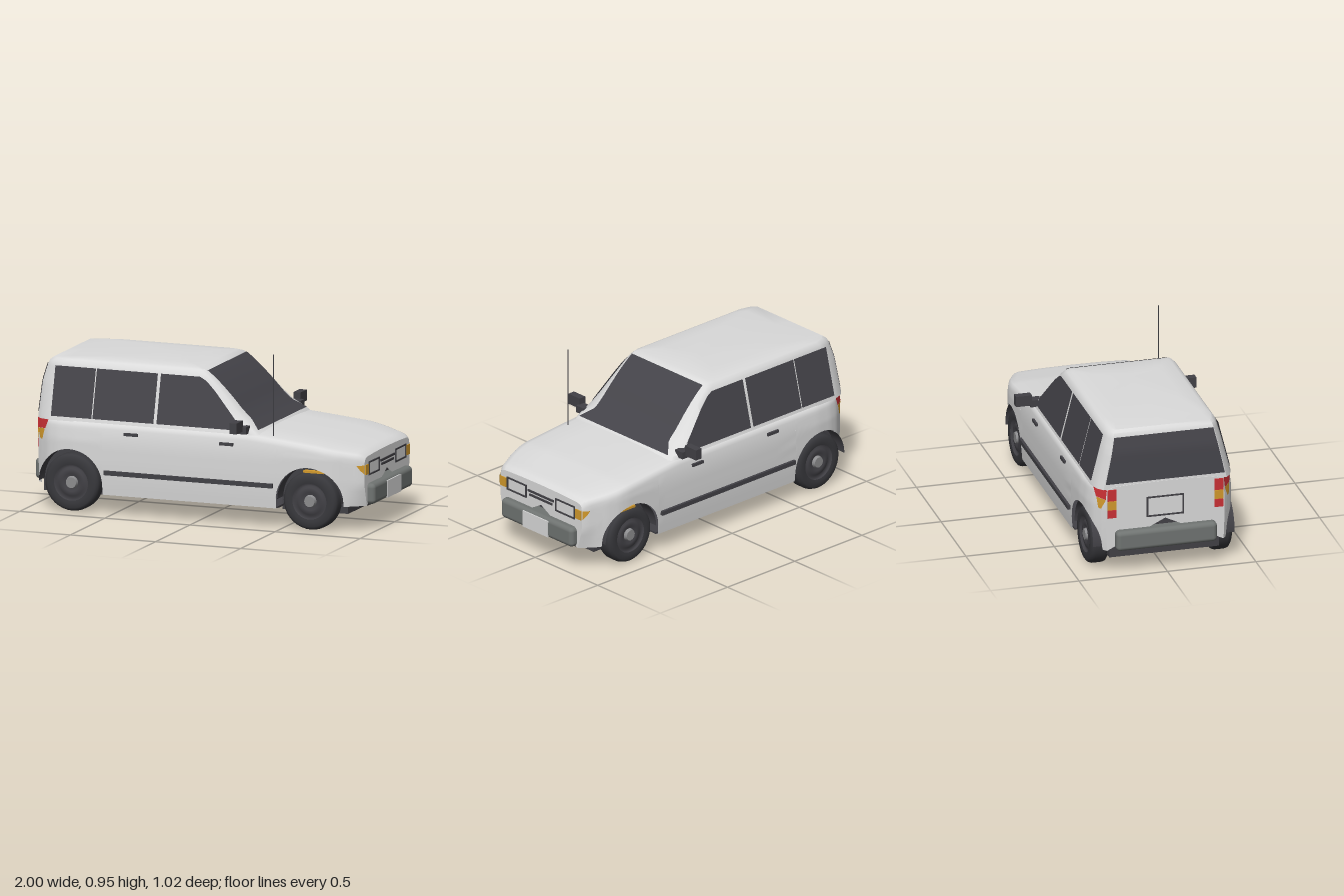
import * as THREE from 'three';
import { toCreasedNormals } from 'three/addons/utils/BufferGeometryUtils.js';
import { RoundedBoxGeometry } from 'three/addons/geometries/RoundedBoxGeometry.js';

const mat = (name, color) => {
  const m = new THREE.MeshStandardMaterial({ color, side: THREE.DoubleSide });
  m.name = name;
  return m;
};

// Piecewise linear lookup in [[t, value], ...]
const at = (keys, t) => {
  if (t <= keys[0][0]) return keys[0][1];
  for (let i = 1; i < keys.length; i++) {
    const [a, va] = keys[i - 1], [b, vb] = keys[i];
    if (t <= b) return va + (vb - va) * (t - a) / (b - a);
  }
  return keys[keys.length - 1][1];
};

// Surface through rows of [x, y, z] points
function skin(rows, crease = 0.6) {
  const n = rows[0].length, index = [];
  for (let i = 0; i < rows.length - 1; i++) {
    for (let j = 0; j < n - 1; j++) {
      const a = i * n + j, b = a + n;
      index.push(a, b, b + 1, a, b + 1, a + 1);
    }
  }
  const g = new THREE.BufferGeometry();
  g.setAttribute('position', new THREE.Float32BufferAttribute(rows.flat(2), 3));
  g.setIndex(index);
  return toCreasedNormals(g, crease);
}

// Thin patch from a function of u, v in 0..1
function patch(f, nu = 6, nv = 14) {
  const rows = [];
  for (let i = 0; i <= nu; i++) {
    const row = [];
    for (let j = 0; j <= nv; j++) row.push(f(i / nu, j / nv));
    rows.push(row);
  }
  return skin(rows);
}

const mix = THREE.MathUtils.lerp;

// Body proportions
const WHEELS = [-0.74, 0.66], ARCH = 0.19, AXLE = 0.16, TAIL = -0.955, NOSE = 0.955;
const bodyWidth = [[TAIL, 0.335], [-0.93, 0.355], [-0.88, 0.39], [-0.82, 0.41], [-0.72, 0.42], [0.7, 0.42],
  [0.76, 0.412], [0.82, 0.392], [0.9, 0.355], [0.935, 0.34], [NOSE, 0.325]];
const bodyTop = [[TAIL, 0.515], [0.3, 0.513], [0.36, 0.508], [0.5, 0.495], [0.7, 0.475], [0.85, 0.448], [0.93, 0.434], [NOSE, 0.415]];
const bulge = [[0.11, 0.975], [0.18, 0.99], [0.28, 1], [0.4, 1], [0.45, 0.985], [0.52, 0.96]];
const sideZ = (x, y) => at(bodyWidth, x) * at(bulge, y)
  - 0.25 * Math.max(0, 0.25 - y) * THREE.MathUtils.clamp((x - 0.86) / 0.09, 0, 1);

// Cabin proportions by height
const cabinWidth = [[0.5, 0.395], [0.52, 0.39], [0.79, 0.322], [0.81, 0.314], [0.825, 0.3], [0.833, 0.28], [0.84, 0.2], [0.845, 0]];
const cabinFront = [[0.5, 0.36], [0.52, 0.34], [0.57, 0.275], [0.62, 0.22], [0.68, 0.165], [0.74, 0.105], [0.78, 0.06],
  [0.81, 0.022], [0.825, 0], [0.833, -0.03], [0.84, -0.12], [0.845, -0.2]];
const cabinRear = [[0.5, -0.953], [0.7, -0.942], [0.79, -0.92], [0.81, -0.912], [0.825, -0.895], [0.833, -0.8], [0.84, -0.55], [0.845, -0.3]];
const screenHalf = [[0.5, 0.37], [0.52, 0.36], [0.57, 0.297], [0.83, 0.285]];

function bodyBottom(x) {
  for (const c of WHEELS) {
    const d = Math.abs(x - c);
    if (d <= ARCH + 1e-6) return AXLE + Math.sqrt(Math.max(0, ARCH * ARCH - d * d));
  }
  return x > 0.85 || x < -0.93 ? 0.14 : 0.11;
}

function bodySection(x) {
  const yb = bodyBottom(x), top = at(bodyTop, x), ys = top - 0.04, half = [];
  for (let i = 0; i <= 9; i++) {
    const y = mix(yb, ys, i / 9);
    half.push([x, y, sideZ(x, y)]);
  }
  const z = sideZ(x, ys);
  for (const [k, d] of [[0.988, 0.023], [0.96, 0.011], [0.88, 0.003], [0.5, -0.002]]) half.push([x, top - d, z * k]);
  return [...half, [x, top + 0.004, 0], ...half.map(([a, b, c]) => [a, b, -c]).reverse()];
}

function cabinRing(y) {
  const w = at(cabinWidth, y), f = at(cabinFront, y), r = at(cabinRear, y);
  const h = Math.min(at(screenHalf, y), w * 0.95);
  const half = [[f, h], [f - 0.015, mix(h, w, 0.6)], [f - 0.05, w], [r + 0.09, w], [r + 0.03, w * 0.95], [r, w * 0.88]];
  return [[f, 0], ...half, [r, 0], ...half.map(([x, z]) => [x, -z]).reverse(), [f, 0]].map(([x, z]) => [x, y, z]);
}

export function createModel() {
  const car = new THREE.Group();
  car.name = 'car';
  const paint = mat('silver paint', 0xdadada), glass = mat('dark glass', 0x45444a), trim = mat('dark trim', 0x424146),
    rubber = mat('tyre rubber', 0x38383c), grey = mat('bumper grey', 0x707472), red = mat('red lens', 0xcc3035),
    amber = mat('amber lens', 0xd39a2c), hub = mat('hub metal', 0x8c8c8e);
  const add = (name, geo, material, x = 0, y = 0, z = 0) => {
    const m = new THREE.Mesh(geo, material);
    m.name = name;
    m.position.set(x, y, z);
    car.add(m);
    return m;
  };
  const box = (name, material, x, y, z, w, h, d) => add(name, new THREE.BoxGeometry(w, h, d), material, x, y, z);

  // Lower body with wheel arches
  const xs = [TAIL, -0.945, -0.9305, -0.5495, -0.4, -0.15, 0.1, 0.3, 0.36, 0.42, 0.4695, 0.8505, 0.88, 0.91, 0.935, NOSE];
  for (const c of WHEELS) for (let i = 0; i <= 24; i++) xs.push(c - ARCH * Math.cos(Math.PI * i / 24));
  const sections = xs.sort((a, b) => a - b).map(bodySection);
  add('bodyShell', skin(sections), paint);
  const centreRow = (s) => s.map(() => [s[0][0], 0.3, 0]);
  const tail = sections[0], nose = sections[sections.length - 1];
  add('tailPanel', skin([centreRow(tail), tail]), paint);
  add('nosePanel', skin([nose, centreRow(nose)]), paint);

  // Cabin and roof
  const levels = [0.5, 0.52, 0.57, 0.62, 0.68, 0.7, 0.74, 0.78, 0.79, 0.81, 0.825, 0.833, 0.84, 0.845];
  add('cabin', skin(levels.map(cabinRing)), paint);

  // Windscreen and rear window
  add('windscreen', patch((u, v) => {
    const y = mix(0.522, 0.817, u);
    return [at(cabinFront, y) + 0.005, y + 0.003, mix(-1, 1, v) * (at(screenHalf, y) - 0.003)];
  }, 20, 2), glass);
  add('rearWindow', patch((u, v) => {
    const y = mix(0.53, 0.79, u);
    return [at(cabinRear, y) - 0.005, y, mix(1, -1, v) * at(cabinWidth, y) * 0.87];
  }, 10, 2), glass);

  // Floor and inner wheel housings
  box('floor', trim, -0.04, 0.115, 0, 1.03, 0.01, 0.8);
  box('noseFloor', trim, 0.9, 0.145, 0, 0.1, 0.01, 0.58);
  for (const x of WHEELS) box('wheelHousing', trim, x, 0.225, 0, 0.385, 0.27, 0.62);

  const frontEdge = [[0.52, 0.255], [0.58, 0.215], [0.65, 0.15], [0.72, 0.085], [0.77, 0.03], [0.79, -0.01]];
  const tyreProfile = [[0.1, 0.05], [0.115, 0.053], [0.14, 0.052], [0.154, 0.042], [0.16, 0.025], [0.16, -0.025],
    [0.154, -0.042], [0.14, -0.052], [0, -0.052]].map(([r, h]) => new THREE.Vector2(r, h)).reverse();
  const rimProfile = [[0.115, 0.05], [0.105, 0.034], [0.085, 0.03], [0.075, 0.042], [0.05, 0.044], [0.04, 0.034], [0, 0.034]]
    .map(([r, h]) => new THREE.Vector2(r, h));

  for (const s of [1, -1]) {
    const side = s > 0 ? 'right' : 'left';
    // Side windows
    const pane = (name, x0, x1) => add(side + name, patch((u, v) => {
      const y = mix(0.522, 0.79, v);
      return [mix(x0, x1(y), u), y, s * (at(cabinWidth, y) + 0.004)];
    }), glass);
    pane('CargoWindow', -0.86, () => -0.622);
    pane('RearDoorWindow', -0.616, () => -0.258);
    pane('FrontDoorWindow', -0.24, (y) => at(frontEdge, y));

    // Wrapped lamps: corners run bottom-back, bottom-front, top-back, top-front
    const lamp = (name, m, a, b, c, d) => add(side + name, patch((u, v) => {
      const x = mix(mix(a[0], b[0], u), mix(c[0], d[0], u), v), y = mix(mix(a[1], b[1], u), mix(c[1], d[1], u), v);
      return [x, y, s * (sideZ(x, y) + 0.006)];
    }, 8, 4), m);
    lamp('TailLampSide', red, [-0.957, 0.442], [-0.9, 0.447], [-0.957, 0.498], [-0.877, 0.498]);
    lamp('TailIndicatorSide', amber, [-0.935, 0.385], [-0.92, 0.385], [-0.957, 0.441], [-0.903, 0.445]);
    lamp('FrontIndicatorSide', amber, [0.935, 0.345], [0.956, 0.32], [0.918, 0.37], [0.956, 0.37]);
    box(side + 'ArchLamp', amber, 0.685, 0.325, s * 0.385, 0.12, 0.012, 0.03);

    // Lamps on the tail and nose panels
    for (const [y, h, m] of [[0.465, 0.065, red], [0.405, 0.05, amber], [0.355, 0.045, red]])
      box(side + 'TailLamp', m, TAIL - 0.003, y, s * 0.302, 0.008, h, 0.05);
    box(side + 'FrontIndicator', amber, NOSE + 0.002, 0.343, s * 0.3, 0.008, 0.055, 0.045);
    for (const dy of [-0.034, 0.034]) box(side + 'HeadlampFrame', trim, NOSE + 0.002, 0.343 + dy, s * 0.193, 0.008, 0.008, 0.156);
    for (const dz of [-0.074, 0.074]) box(side + 'HeadlampFrame', trim, NOSE + 0.002, 0.343, s * (0.193 + dz), 0.008, 0.068, 0.008);

    // Handles, rub strip and mirror
    box(side + 'RearHandle', trim, -0.38, 0.456, s * 0.416, 0.08, 0.016, 0.016);
    box(side + 'FrontHandle', trim, 0.18, 0.447, s * 0.417, 0.08, 0.016, 0.016);
    box(side + 'RubStrip', trim, -0.04, 0.236, s * 0.423, 0.99, 0.024, 0.022);
    box(side + 'MirrorArm', trim, 0.272, 0.53, s * 0.395, 0.055, 0.04, 0.06);
    box(side + 'Mirror', trim, 0.257, 0.555, s * 0.465, 0.042, 0.06, 0.09);

    // Wheels and arch liners
    for (const x of WHEELS) {
      const wheel = new THREE.Group();
      wheel.name = side + 'Wheel';
      wheel.position.set(x, AXLE, s * 0.347);
      wheel.rotation.x = s * Math.PI / 2;
      const parts = [['tyre', new THREE.LatheGeometry(tyreProfile, 36), rubber],
        ['rim', new THREE.LatheGeometry(rimProfile.slice().reverse(), 36), trim],
        ['hubCap', new THREE.CylinderGeometry(0.03, 0.036, 0.02, 20), hub]];
      for (const [name, geo, m] of parts) {
        const p = new THREE.Mesh(geo, m);
        p.name = name;
        if (name === 'hubCap') p.position.y = 0.042;
        wheel.add(p);
      }
      car.add(wheel);
      const liner = new THREE.CylinderGeometry(ARCH - 0.002, ARCH - 0.002, 0.1, 28, 1, true, Math.PI / 2, Math.PI);
      add(side + 'ArchLiner', liner.rotateX(Math.PI / 2), trim, x, AXLE, s * 0.35);
    }
  }

  // Grille bars and bumpers
  box('upperGrilleBar', trim, NOSE + 0.002, 0.356, 0, 0.008, 0.012, 0.205);
  box('lowerGrilleBar', trim, NOSE + 0.002, 0.334, 0, 0.008, 0.012, 0.18);
  add('frontBumper', new RoundedBoxGeometry(0.1, 0.115, 0.57, 4, 0.025), grey, 0.946, 0.203, 0);
  box('frontPlate', paint, 0.996, 0.2, 0, 0.008, 0.095, 0.2);
  add('rearBumper', new RoundedBoxGeometry(0.1, 0.115, 0.57, 4, 0.025), grey, -0.95, 0.2, 0);

  // Rear plate frame
  for (const d of [-1, 1]) {
    box('rearPlateFrame', trim, TAIL - 0.002, 0.375 + d * 0.055, 0, 0.008, 0.008, 0.21);
    box('rearPlateFrame', trim, TAIL - 0.002, 0.375, d * 0.101, 0.008, 0.11, 0.008);
  }

  // Aerial
  add('aerial', new THREE.CylinderGeometry(0.0025, 0.0025, 0.46, 8), trim, 0.43, 0.72, 0.35);
  return car;
}
